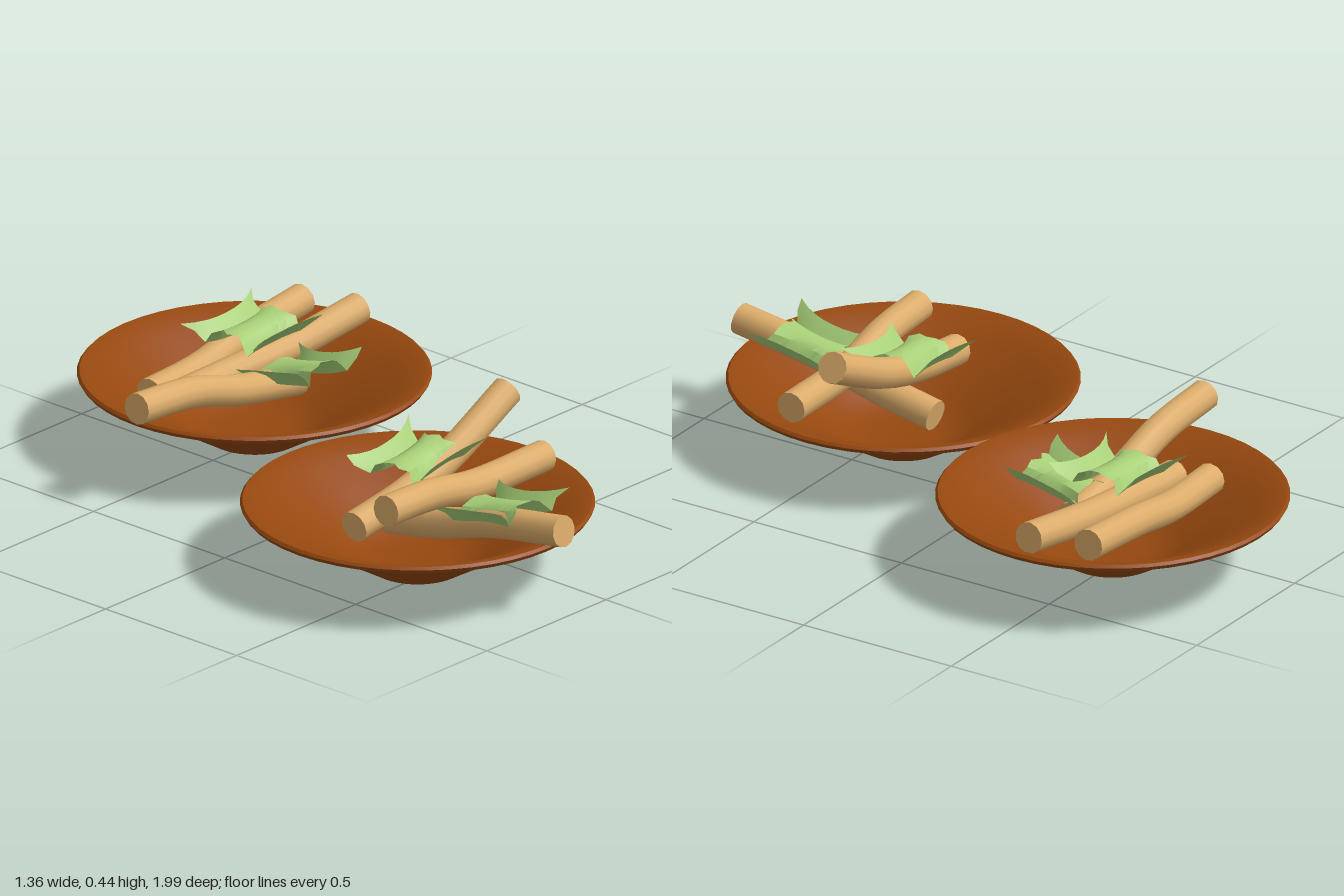
import * as THREE from 'three';
import { toCreasedNormals } from 'three/addons/utils/BufferGeometryUtils.js';

const V = (x, y, z) => new THREE.Vector3(x, y, z);

function named(mesh, name) {
  mesh.name = name;
  return mesh;
}

// Shallow flared dish with a thin wall and a flat foot
function makeBowl(material) {
  const profile = [
    [0, 0], [0.13, 0], [0.23, 0.06], [0.33, 0.114], [0.42, 0.158], [0.495, 0.188],
    [0.502, 0.2], [0.495, 0.208], [0.47, 0.205], [0.4, 0.173], [0.3, 0.118],
    [0.2, 0.06], [0.15, 0.033], [0.1, 0.026], [0, 0.026],
  ].map(([r, y]) => new THREE.Vector2(r, y));
  const geo = toCreasedNormals(new THREE.LatheGeometry(profile, 48), 0.5);
  return named(new THREE.Mesh(geo, material), 'bowl');
}

// Bent round stick with flat, capped ends
function makeStick(points, material, radius = 0.046) {
  const stick = new THREE.Group();
  stick.name = 'stick';
  const curve = new THREE.CatmullRomCurve3(points);
  stick.add(named(new THREE.Mesh(new THREE.TubeGeometry(curve, 14, radius, 12), material), 'stickShaft'));
  for (const t of [0, 1]) {
    const cap = named(new THREE.Mesh(new THREE.CircleGeometry(radius, 12), material), 'stickEnd');
    const outward = curve.getTangent(t).multiplyScalar(t ? 1 : -1);
    cap.position.copy(curve.getPoint(t));
    cap.quaternion.setFromUnitVectors(V(0, 0, 1), outward);
    stick.add(cap);
  }
  return stick;
}

// Draped leaf: ridge along its length, turned-up brims, notched ends, pointed corners
function makeLeaf(length, width, seed, material) {
  const ridge = [[-1, 0], [-0.8, -0.022], [-0.58, -0.05], [-0.4, -0.012], [-0.2, 0], [0, 0.004],
    [0.2, 0], [0.4, -0.012], [0.58, -0.05], [0.8, -0.022], [1, 0]];
  const rows = 8;
  const pos = [], index = [];
  for (let i = 0; i <= rows; i++) {
    const t = (i / rows) * 2 - 1;
    ridge.forEach(([w, y], j) => {
      const ragged = 0.07 * Math.sin(j * 2.6 + seed + Math.sign(t));
      const reach = 0.7 + 0.3 * Math.pow(Math.abs(w), 2) + ragged * Math.abs(t);
      const flare = 0.74 + 0.26 * Math.pow(Math.abs(t), 2.5);
      pos.push(t * reach * length / 2, y + 0.012 * t * t * Math.abs(w), w * flare * width / 2);
    });
  }
  const n = ridge.length;
  for (let i = 0; i < rows; i++) {
    for (let j = 0; j < n - 1; j++) {
      const a = i * n + j, b = a + n;
      index.push(a, a + 1, b, b, a + 1, b + 1);
    }
  }
  const geo = new THREE.BufferGeometry();
  geo.setAttribute('position', new THREE.Float32BufferAttribute(pos, 3));
  geo.setIndex(index);
  geo.computeVertexNormals();
  return named(new THREE.Mesh(toCreasedNormals(geo, 0.6), material), 'leaf');
}

export function createModel() {
  const clay = new THREE.MeshStandardMaterial({ color: 0x96480f });
  clay.name = 'brown clay';
  const wood = new THREE.MeshStandardMaterial({ color: 0xdcac6a });
  wood.name = 'pale wood';
  const green = new THREE.MeshStandardMaterial({ color: 0xa8d078, side: THREE.DoubleSide });
  green.name = 'leaf green';

  const model = new THREE.Group();
  model.name = 'twoBowlsOfSticks';

  const servings = [
    {
      name: 'frontBowl',
      bowl: [-0.18, 0, 0.445],
      sticks: [
        [V(-0.43, 0.195, 0.43), V(-0.22, 0.225, 0.425), V(-0.04, 0.275, 0.42), V(0.235, 0.4, 0.41)],
        [V(-0.45, 0.29, 0.57), V(-0.26, 0.28, 0.565), V(-0.07, 0.245, 0.555), V(0.235, 0.24, 0.55)],
        [V(-0.17, 0.115, 0.33), V(-0.17, 0.155, 0.53), V(-0.165, 0.21, 0.72), V(-0.16, 0.255, 0.985)],
      ],
      // position, length, width, yaw, pitch
      leaves: [
        [[-0.135, 0.325, 0.395], 0.29, 0.28, 0.08, 0.1],
        [[-0.14, 0.268, 0.725], 0.27, 0.28, -Math.PI / 2, 0.18],
      ],
    },
    {
      name: 'backBowl',
      bowl: [0.175, 0.017, -0.5],
      sticks: [
        [V(-0.105, 0.195, -0.645), V(0.12, 0.2, -0.66), V(0.32, 0.235, -0.675), V(0.58, 0.262, -0.685)],
        [V(-0.05, 0.205, -0.56), V(0.14, 0.215, -0.55), V(0.34, 0.225, -0.535), V(0.635, 0.263, -0.52)],
        [V(-0.385, 0.295, -0.44), V(-0.16, 0.275, -0.44), V(0.04, 0.22, -0.44), V(0.29, 0.175, -0.44)],
      ],
      leaves: [
        [[0.22, 0.342, -0.545], 0.29, 0.28, 0, 0.06],
        [[0.22, 0.27, -0.365], 0.25, 0.27, -Math.PI / 2, 0.22],
      ],
    },
  ];

  servings.forEach((s, k) => {
    const group = new THREE.Group();
    group.name = s.name;
    const bowl = makeBowl(clay);
    bowl.position.set(...s.bowl);
    group.add(bowl);
    s.sticks.forEach((points) => group.add(makeStick(points, wood)));
    s.leaves.forEach(([p, length, width, yaw, pitch], i) => {
      const leaf = makeLeaf(length, width, k * 2 + i * 1.3, green);
      leaf.position.set(...p);
      leaf.rotation.set(0, yaw, pitch, 'YZX');
      group.add(leaf);
    });
    model.add(group);
  });
  return model;
}
